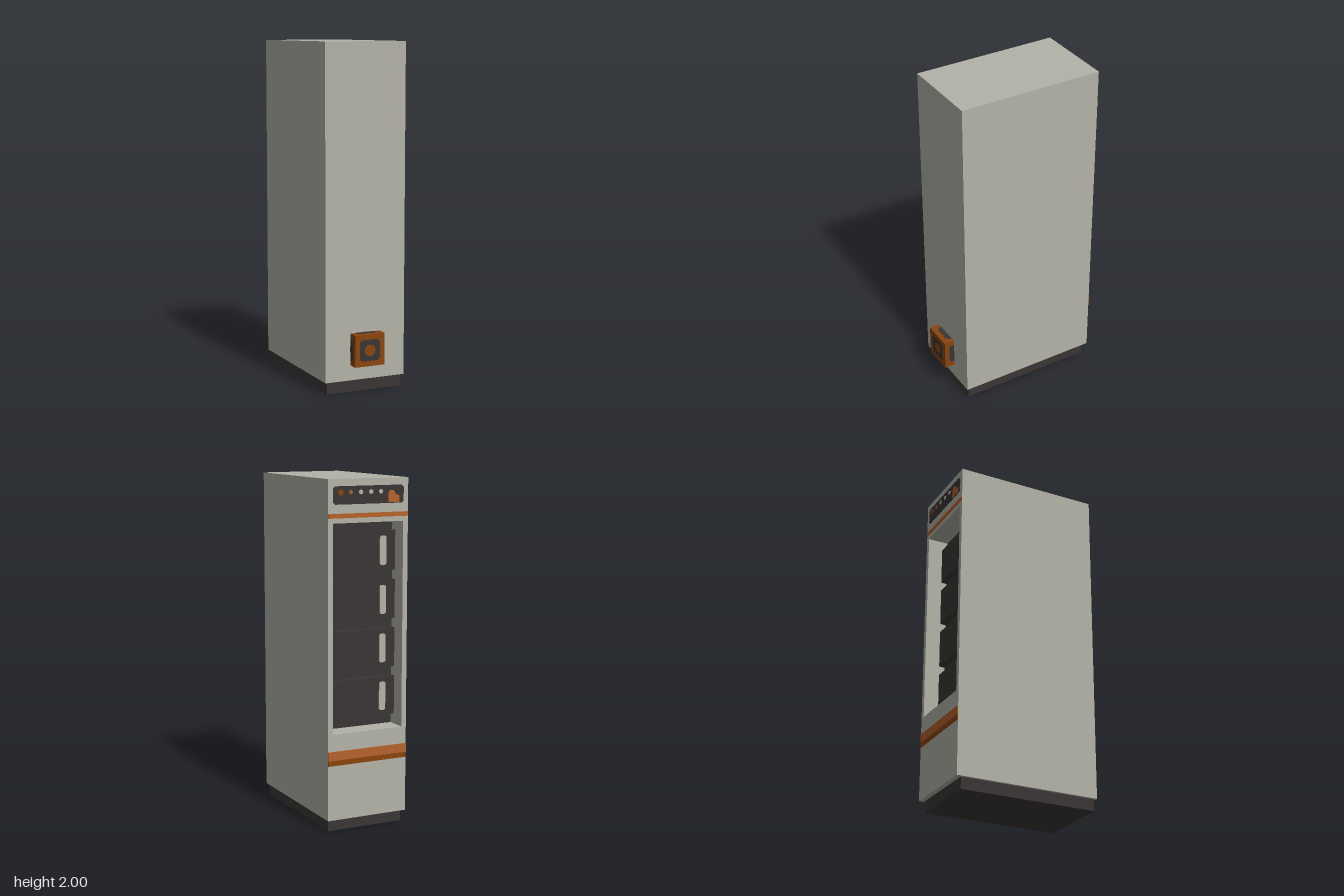
import * as THREE from 'three';

const mat = (name, color) => {
  const m = new THREE.MeshStandardMaterial({ color });
  m.name = name;
  return m;
};

export function createModel() {
  const root = new THREE.Group();
  root.name = 'equipmentCabinet';
  const grey = mat('warm grey', 0xb3b3a8);
  const dark = mat('charcoal', 0x3b3535);
  const brown = mat('burnt orange', 0x8b450e);
  const orange = mat('bright orange', 0xb5622b);

  const BACK = -0.467, FRONT = 0.405, HALF = 0.25, DEPTH = 0.13;

  const add = (name, geo, material, parent = root) => {
    const m = new THREE.Mesh(geo, material);
    m.name = name;
    parent.add(m);
    return m;
  };
  // Box given by its limits on each axis
  const box = (name, x0, x1, y0, y1, z0, z1, material, parent = root) => {
    const m = add(name, new THREE.BoxGeometry(x1 - x0, y1 - y0, z1 - z0), material, parent);
    m.position.set((x0 + x1) / 2, (y0 + y1) / 2, (z0 + z1) / 2);
    return m;
  };
  const polygon = (pts) => new THREE.Shape(pts.map(([x, y]) => new THREE.Vector2(x, y)));
  const chamfered = (w, h, c) => polygon([
    [-w + c, -h], [w - c, -h], [w, -h + c], [w, h - c],
    [w - c, h], [-w + c, h], [-w, h - c], [-w, -h + c],
  ]);
  const plate = (shape, depth) =>
    new THREE.ExtrudeGeometry(shape, { depth, bevelEnabled: false });

  // Plinth and main housing
  box('plinth', -0.235, 0.235, 0, 0.07, -0.436, 0.391, dark);
  box('housing', -HALF, HALF, 0.07, 2, BACK + DEPTH, FRONT, grey);

  // Frame around the recessed bay
  const frame = polygon([[-HALF, 0.07], [HALF, 0.07], [HALF, 2], [-HALF, 2]]);
  frame.holes.push(new THREE.Path([[-0.22, 0.572], [-0.22, 1.757], [0.22, 1.757], [0.22, 0.572]]
    .map(([x, y]) => new THREE.Vector2(x, y))));
  add('bayFrame', plate(frame, DEPTH), grey).position.z = BACK;
  box('bayBackPanel', -0.22, 0.22, 0.572, 1.757, BACK + DEPTH - 0.004, BACK + DEPTH, dark);

  // Four rack units with pull handles
  for (let i = 0; i < 4; i++) {
    const y = 1.587 - i * 0.281;
    const unit = new THREE.Group();
    unit.name = 'rackUnit' + (i + 1);
    root.add(unit);
    const z = BACK + 0.09;
    box('drawer', -0.22, 0.22, y - 0.113, y + 0.113, z, BACK + DEPTH, dark, unit);
    const handle = add('handle', plate(chamfered(0.02, 0.083, 0.008), 0.006), grey, unit);
    handle.position.set(-0.14, y, z - 0.006);
  }

  // Trim bands across the back
  box('upperTrim', -HALF, HALF, 1.785, 1.81, BACK - 0.003, BACK, orange);
  box('lowerTrim', -HALF, HALF, 0.42, 0.472, BACK - 0.003, BACK, orange);
  box('lowerTrimShade', -HALF, HALF, 0.39, 0.42, BACK - 0.003, BACK, brown);

  // Control panel with indicator lights
  const panel = new THREE.Group();
  panel.name = 'controlPanel';
  root.add(panel);
  add('panelPlate', plate(chamfered(0.22, 0.05, 0.012), 0.003), dark, panel)
    .position.set(0, 1.91, BACK - 0.003);
  [[0.175, 0.017, brown], [0.112, 0.011, orange], [0.05, 0.013, grey],
    [-0.013, 0.013, grey], [-0.075, 0.013, grey]].forEach(([x, r, m], i) => {
    const light = add('indicator' + (i + 1), new THREE.CylinderGeometry(r, r, 0.003, 16), m, panel);
    light.rotation.x = Math.PI / 2;
    light.position.set(x, 1.926, BACK - 0.0045);
  });
  const flag = polygon([[-0.19, 1.864], [-0.122, 1.864], [-0.122, 1.915], [-0.13, 1.93],
    [-0.155, 1.93], [-0.168, 1.91], [-0.19, 1.9]]);
  add('panelSwitch', plate(flag, 0.003), orange, panel).position.z = BACK - 0.006;

  // Cube set into the front, with an inlay on every exposed face
  const cube = new THREE.Group();
  cube.name = 'frontCube';
  cube.position.set(0, 0.252, 0.375);
  root.add(cube);
  const S = 0.093;
  add('cubeBody', new THREE.BoxGeometry(2 * S, 2 * S, 2 * S), brown, cube);
  [[0, 0], [0, Math.PI / 2], [0, -Math.PI / 2], [Math.PI / 2, 0], [-Math.PI / 2, 0]]
    .forEach(([rx, ry]) => {
      const face = new THREE.Group();
      face.name = 'cubeFace';
      face.rotation.set(rx, ry, 0);
      cube.add(face);
      add('inlay', plate(chamfered(0.063, 0.062, 0.014), 0.001), dark, face).position.z = S;
      const disc = add('inlayDisc', new THREE.CylinderGeometry(0.034, 0.034, 0.001, 20), brown, face);
      disc.rotation.x = Math.PI / 2;
      disc.position.z = S + 0.0015;
    });

  return root;
}
